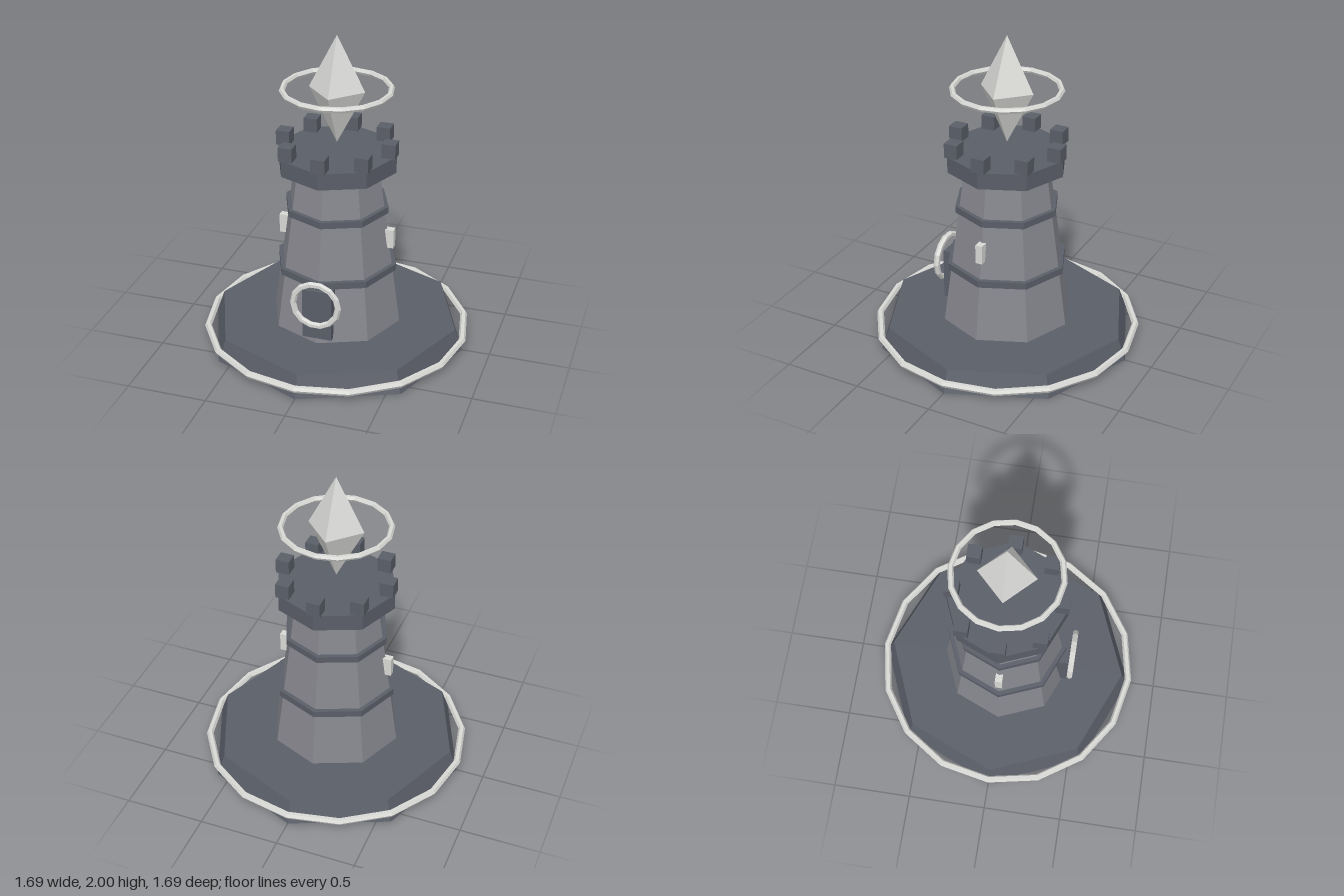
import * as THREE from 'three';

const mat = (name, color) => {
  const m = new THREE.MeshStandardMaterial({ color, flatShading: true });
  m.name = name;
  return m;
};

export function createModel() {
  const tower = new THREE.Group();
  tower.name = 'crystalTower';
  const stone = mat('stone grey', 0x86878e);
  const slate = mat('dark slate', 0x5a5e68);
  const pale = mat('pale crystal', 0xd8d8d5);

  const add = (name, geometry, material, x = 0, y = 0, z = 0) => {
    const mesh = new THREE.Mesh(geometry, material);
    mesh.name = name;
    mesh.position.set(x, y, z);
    tower.add(mesh);
    return mesh;
  };
  // Eight-sided tapered drum from y0 to y1, corners on the axes
  const drum = (name, rBottom, rTop, y0, y1, material) =>
    add(name, new THREE.CylinderGeometry(rTop, rBottom, y1 - y0, 8), material, 0, (y0 + y1) / 2, 0);
  const ring = (name, radius, tube, sides, y, z = 0) =>
    add(name, new THREE.TorusGeometry(radius, tube, 6, sides), pale, 0, y, z);

  // Plinth, shaft, bands and parapet
  drum('base', 0.825, 0.775, 0, 0.14, slate);
  drum('shaft', 0.413, 0.27, 0.14, 1.17, stone);
  drum('lowerBand', 0.385, 0.385, 0.502, 0.545, slate);
  drum('upperBand', 0.33, 0.33, 0.89, 0.932, slate);
  drum('parapet', 0.375, 0.375, 1.168, 1.272, slate);

  // Battlements, all squared to the axes
  for (let i = 0; i < 8; i++) {
    const a = (i * Math.PI) / 4;
    add('battlement', new THREE.BoxGeometry(0.086, 0.092, 0.086), slate,
      Math.sin(a) * 0.333, 1.316, Math.cos(a) * 0.333);
  }

  // Door with its portal ring
  add('door', new THREE.BoxGeometry(0.186, 0.33, 0.11), slate, 0, 0.337, 0.353);
  ring('doorRing', 0.143, 0.02, 14, 0.42, 0.43);

  // Side windows
  for (const side of [-1, 1]) {
    add('window', new THREE.BoxGeometry(0.07, 0.122, 0.045), pale, side * 0.335, 0.722, 0);
  }

  // Floating crystal and the level rings
  const crystal = add('crystal', new THREE.OctahedronGeometry(1), pale, 0, 1.66, 0);
  crystal.scale.set(0.175, 0.34, 0.175);
  ring('crystalRing', 0.327, 0.018, 16, 1.662).rotation.x = Math.PI / 2;
  ring('baseRing', 0.823, 0.022, 16, 0.07).rotation.x = Math.PI / 2;

  return tower;
}
